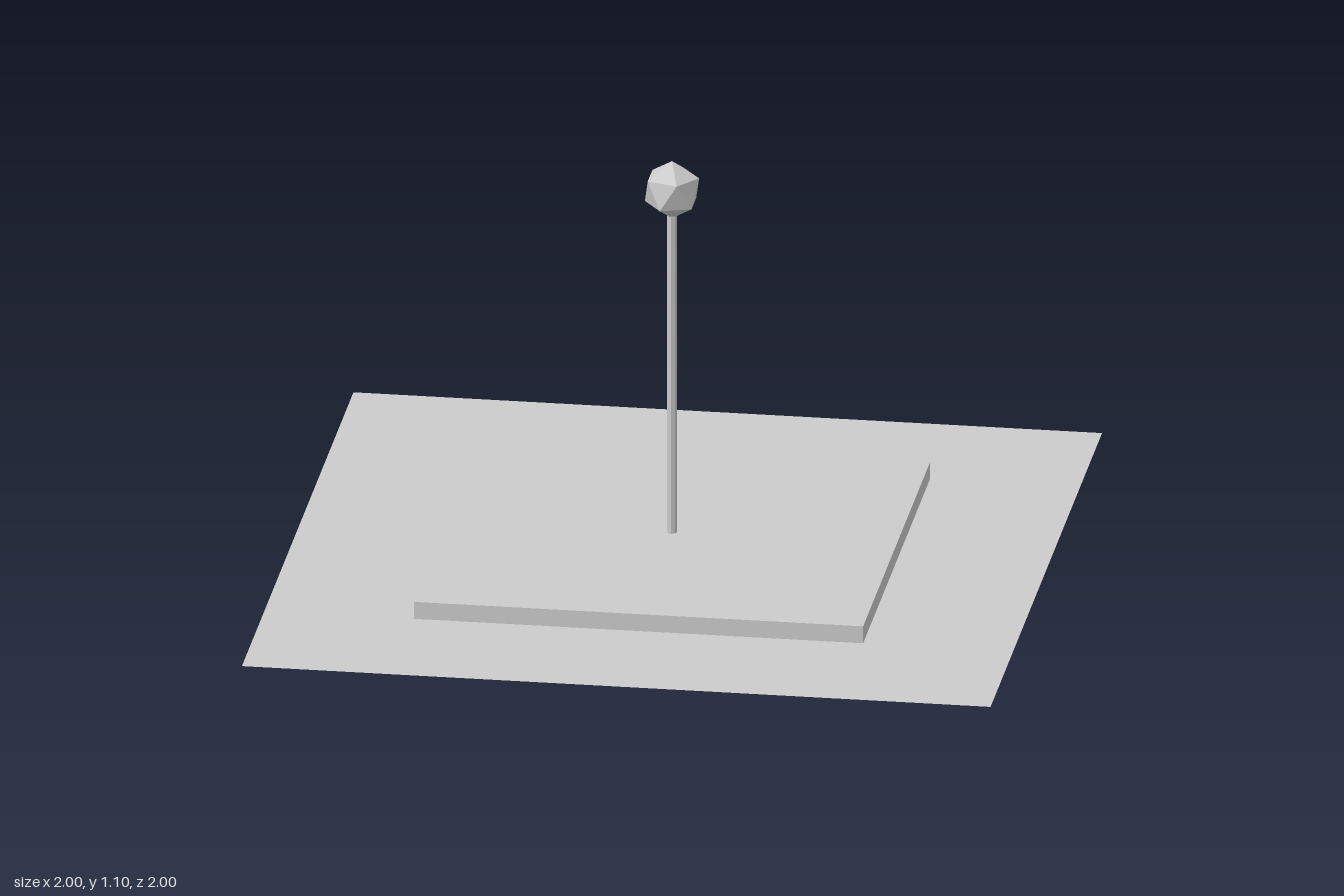
import * as THREE from 'three';

export function createModel() {
  const model = new THREE.Group();
  const grey = new THREE.MeshStandardMaterial({ color: 0xcccccc, flatShading: true, side: THREE.DoubleSide });
  grey.name = 'plain grey';

  const add = (name, geometry, y) => {
    const mesh = new THREE.Mesh(geometry, grey);
    mesh.name = name;
    mesh.position.y = y;
    model.add(mesh);
    return mesh;
  };

  // Flat ground sheet
  add('groundSheet', new THREE.PlaneGeometry(2, 2).rotateX(-Math.PI / 2), 0);

  // Square slab resting on the sheet
  add('baseSlab', new THREE.BoxGeometry(1.2, 0.048, 1.2), 0.026);

  // Thin upright pole
  add('pole', new THREE.CylinderGeometry(0.0135, 0.0135, 0.93, 8), 0.515);

  // Faceted ball, turned to stand on one corner with an upper corner towards +x
  const ball = new THREE.IcosahedronGeometry(0.081, 0);
  const phi = (1 + Math.sqrt(5)) / 2;
  const up = new THREE.Vector3(0, 1, phi).normalize();
  const side = new THREE.Vector3(0, -1, phi).addScaledVector(up, -new THREE.Vector3(0, -1, phi).dot(up)).normalize();
  const depth = new THREE.Vector3().crossVectors(side, up);
  ball.applyMatrix4(new THREE.Matrix4().makeBasis(side, up, depth).transpose());
  add('facetedBall', ball, 1.022);

  return model;
}
